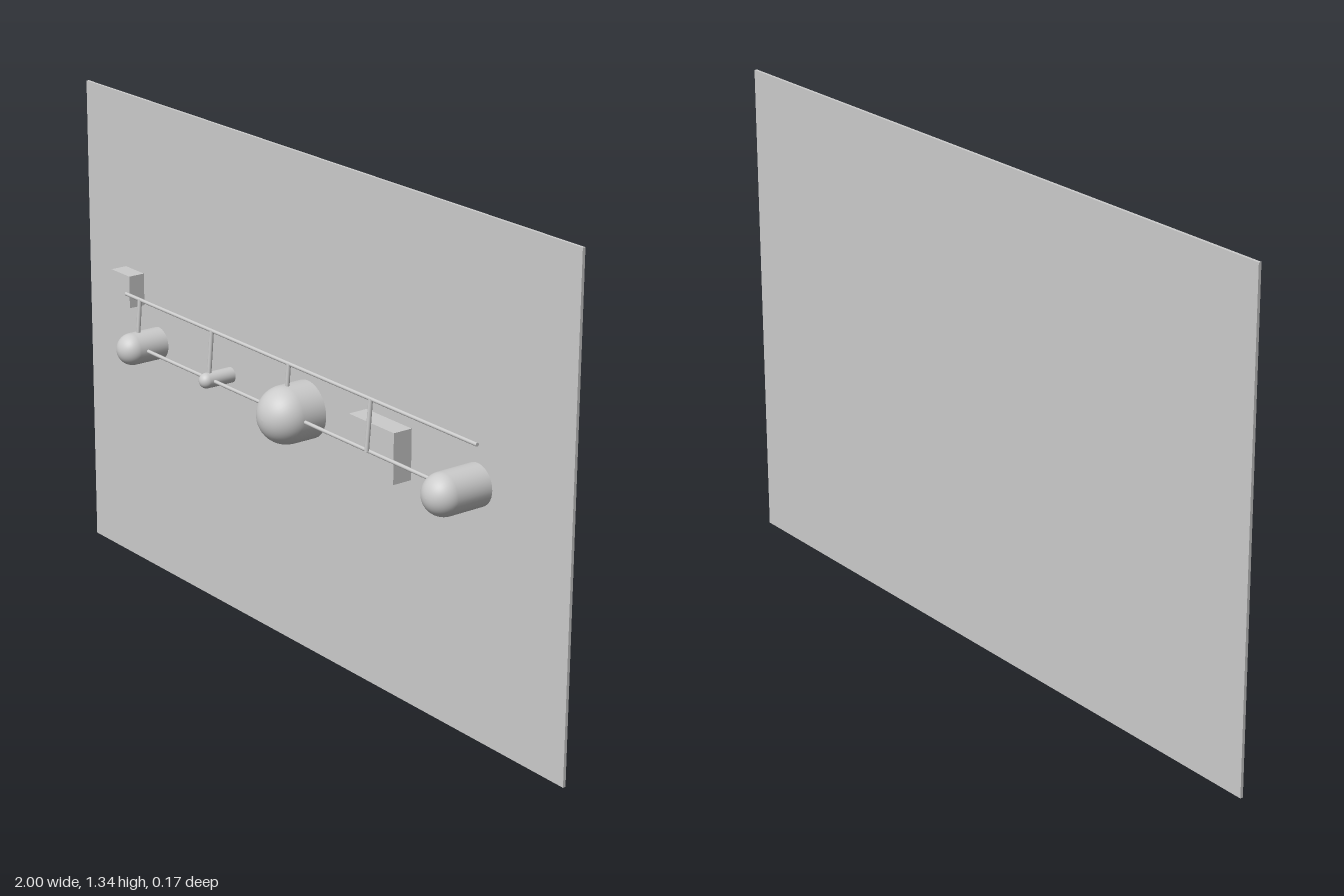
import * as THREE from 'three';

const WALL = -0.076; // front face of the back panel

export function createModel() {
  const group = new THREE.Group();
  const material = new THREE.MeshStandardMaterial({ color: 0xcccccc });

  const add = (name, geometry, x, y, z) => {
    const mesh = new THREE.Mesh(geometry, material);
    mesh.name = name;
    mesh.position.set(x, y, z);
    group.add(mesh);
    return mesh;
  };

  // round bar between two points
  const rod = (name, a, b, radius) => {
    const from = new THREE.Vector3(...a), to = new THREE.Vector3(...b);
    const dir = to.clone().sub(from);
    const mid = from.clone().add(to).multiplyScalar(0.5);
    const mesh = add(name, new THREE.CylinderGeometry(radius, radius, dir.length(), 12), mid.x, mid.y, mid.z);
    mesh.quaternion.setFromUnitVectors(new THREE.Vector3(0, 1, 0), dir.normalize());
  };

  // block standing on the panel
  const block = (name, x0, x1, y0, y1, front) =>
    add(name, new THREE.BoxGeometry(x1 - x0, y1 - y0, front - WALL),
      (x0 + x1) / 2, (y0 + y1) / 2, (front + WALL) / 2);

  // round post with a domed front, standing on the panel
  const post = (name, x, radius, front) => {
    const length = front - radius - WALL;
    const profile = [new THREE.Vector2(0, 0), new THREE.Vector2(radius, 0), new THREE.Vector2(radius, 0)];
    for (let i = 0; i <= 14; i++) {
      const a = (i / 14) * Math.PI / 2;
      profile.push(new THREE.Vector2(i === 14 ? 0 : radius * Math.cos(a), length + radius * Math.sin(a)));
    }
    const mesh = add(name, new THREE.LatheGeometry(profile, 40), x, 0.668, WALL);
    mesh.rotation.x = Math.PI / 2;
  };

  // back panel
  add('backPanel', new THREE.BoxGeometry(2, 1.335, 0.008), 0, 0.6675, WALL - 0.004);

  // domed posts
  post('rightPost', -0.667, 0.044, 0.056);
  post('smallPost', -0.334, 0.021, 0.024);
  post('largePost', 0, 0.077, 0.07);
  post('leftPost', 0.664, 0.055, 0.083);

  // wall blocks
  block('upperBlock', -0.823, -0.736, 0.758, 0.848, -0.028);
  block('lowerBlock', 0.24, 0.417, 0.602, 0.737, -0.02);

  // long rails
  rod('upperRail', [-0.735, 0.802, -0.016], [0.73, 0.802, -0.016], 0.005);
  rod('lowerRail', [-0.667, 0.668, -0.01], [0.664, 0.668, -0.01], 0.005);

  // slightly tilted hangers joining the rails
  for (const x of [-0.667, -0.334, 0, 0.332]) {
    rod('hanger', [x, 0.668, -0.004], [x, 0.804, -0.015], 0.006);
  }

  return group;
}
